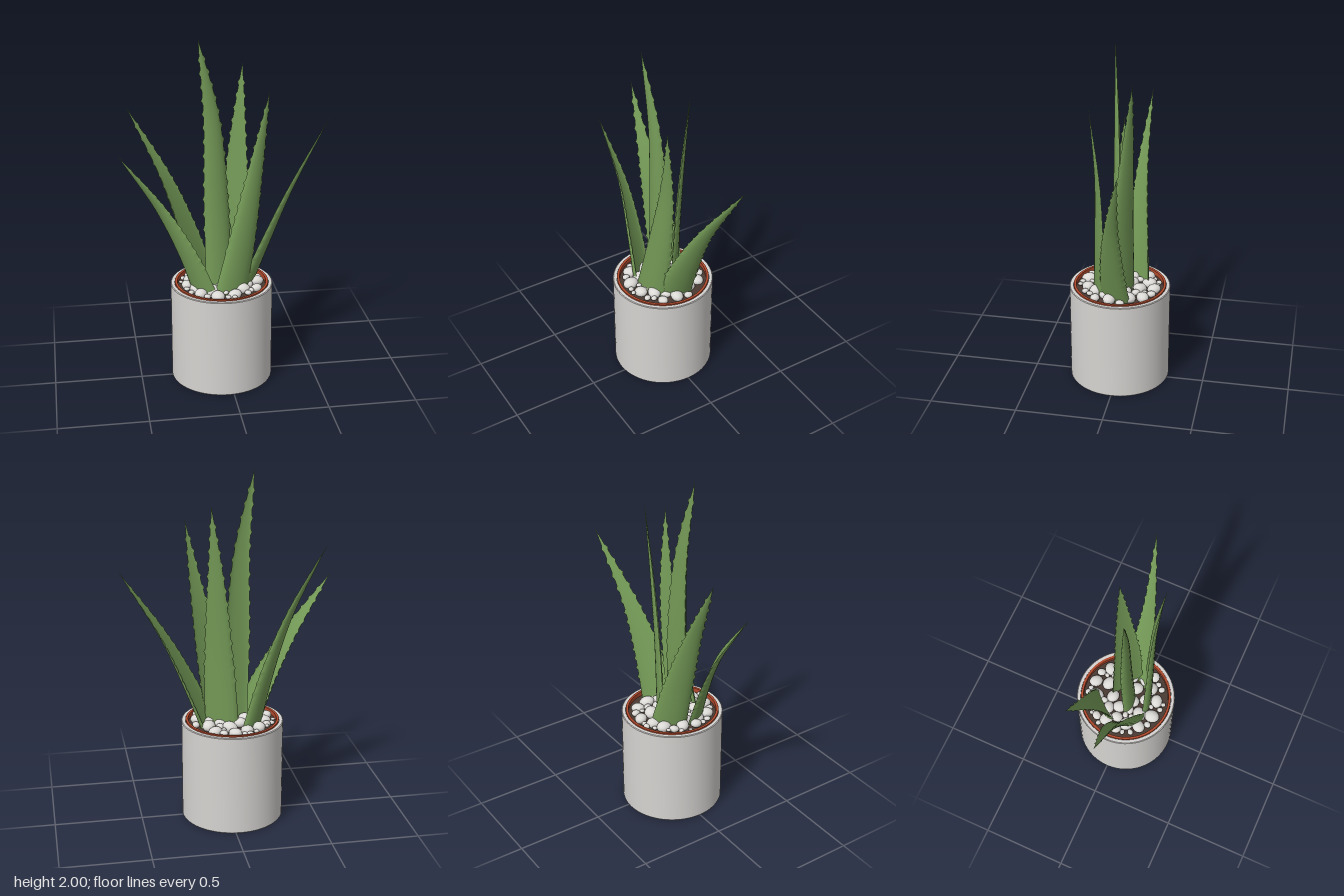
import * as THREE from 'three';
import { toCreasedNormals } from 'three/addons/utils/BufferGeometryUtils.js';

const mat = (name, color, side = THREE.FrontSide) => {
  const m = new THREE.MeshStandardMaterial({ color, side });
  m.name = name;
  return m;
};

const POT_X = -0.03;

// Pointed leaf with a crescent section: convex outside, shallow channel inside, toothed edges
function leafGeometry({ path, out, halfWidth, power, depth }) {
  const curve = new THREE.CatmullRomCurve3(path.map((p) => new THREE.Vector3(...p)));
  const outDir = new THREE.Vector3(...out);
  const rows = 72, cols = 10, positions = [], index = [];
  for (const [bulge, inner] of [[1, false], [0.3, true]]) {
    const start = positions.length / 3;
    for (let i = 0; i <= rows; i++) {
      const t = i / rows;
      const centre = curve.getPoint(t);
      const tangent = curve.getTangent(t);
      const side = new THREE.Vector3().crossVectors(tangent, outDir).normalize();
      const normal = new THREE.Vector3().crossVectors(side, tangent);
      const size = Math.max(1 - Math.pow(t, power), 0.01);
      const tooth = i % 4 === 2 && t > 0.2 && t < 0.95 ? 0.009 : 0;
      for (let j = 0; j <= cols; j++) {
        const a = (j / cols) * Math.PI;
        const edge = j === 0 ? tooth : j === cols ? -tooth : 0;
        const p = centre.clone()
          .addScaledVector(side, Math.cos(a) * halfWidth * size + edge)
          .addScaledVector(normal, Math.sin(a) * depth * size * bulge);
        positions.push(p.x, p.y, p.z);
      }
    }
    for (let i = 0; i < rows; i++) {
      for (let j = 0; j < cols; j++) {
        const a = start + i * (cols + 1) + j, b = a + cols + 1;
        if (inner) index.push(a, a + 1, b, b, a + 1, b + 1);
        else index.push(a, b, a + 1, b, b + 1, a + 1);
      }
    }
  }
  const g = new THREE.BufferGeometry();
  g.setAttribute('position', new THREE.Float32BufferAttribute(positions, 3));
  g.setIndex(index);
  g.computeVertexNormals();
  return g;
}

const LEAVES = [
  { name: 'lowRightLeaf', out: [-0.68, -0.38, 0.6], halfWidth: 0.092, power: 1.6, depth: 0.05,
    path: [[-0.11, 0.5, 0.075], [-0.22, 0.78, 0.065], [-0.37, 1.06, 0.055], [-0.6, 1.385, 0.08]] },
  { name: 'rearRightLeaf', out: [-0.7, -0.3, -0.62], halfWidth: 0.1, power: 1.4, depth: 0.045,
    path: [[-0.1, 0.5, -0.085], [-0.2, 0.85, -0.075], [-0.33, 1.2, -0.075], [-0.535, 1.6, -0.1]] },
  { name: 'tallLeaf', out: [0.15, 0, 1], halfWidth: 0.077, power: 2.2, depth: 0.045,
    path: [[-0.045, 0.5, 0.02], [-0.06, 1.05, 0.005], [-0.085, 1.55, 0.015], [-0.16, 2, 0.05]] },
  { name: 'rearLeaf', out: [0.55, 0, -0.83], halfWidth: 0.105, power: 1.6, depth: 0.04,
    path: [[0.03, 0.5, -0.015], [0.05, 0.95, -0.025], [0.07, 1.4, -0.055], [0.1, 1.83, -0.09]] },
  { name: 'frontLeaf', out: [0.35, 0, 0.94], halfWidth: 0.105, power: 1.3, depth: 0.05,
    path: [[0.0, 0.5, 0.095], [0.08, 0.9, 0.085], [0.15, 1.3, 0.085], [0.213, 1.72, 0.12]] },
  { name: 'leftLeaf', out: [0.8, -0.4, 0.42], halfWidth: 0.1, power: 1.4, depth: 0.05,
    path: [[0.07, 0.5, 0.0], [0.2, 0.8, 0.0], [0.35, 1.1, -0.025], [0.6, 1.5, -0.1]] },
];

export function createModel() {
  const model = new THREE.Group();
  model.name = 'pottedPlant';
  const white = mat('potWhite', 0xd6d4d1);
  const terracotta = mat('terracotta', 0xb0492c);
  const soilBrown = mat('soilBrown', 0x4a3b32);
  const pebbleWhite = mat('pebbleWhite', 0xdcdad6);
  const green = mat('leafGreen', 0x749a57, THREE.DoubleSide);

  const add = (name, geometry, material, x = 0, y = 0, z = 0, parent = model) => {
    const mesh = new THREE.Mesh(geometry, material);
    mesh.name = name;
    mesh.position.set(x, y, z);
    parent.add(mesh);
    return mesh;
  };
  const lathe = (pts) => toCreasedNormals(
    new THREE.LatheGeometry(pts.map((p) => new THREE.Vector2(...p)), 64), 0.6);

  // Outer pot, inner nursery pot and soil
  add('outerPot', lathe([[0, 0], [0.287, 0], [0.29, 0.004], [0.29, 0.576], [0.286, 0.58],
    [0.268, 0.58], [0.266, 0.5]]), white, POT_X);
  add('innerPot', lathe([[0.264, 0.5], [0.266, 0.586], [0.252, 0.586], [0.25, 0.5]]), terracotta, POT_X);
  add('soil', new THREE.CylinderGeometry(0.252, 0.252, 0.04, 48), soilBrown, POT_X, 0.54);

  // Pebbles scattered over the soil, largest first, without much overlap
  let seed = 7;
  const rand = () => (seed = (seed * 16807) % 2147483647) / 2147483647;
  const pebbles = new THREE.Group();
  pebbles.name = 'pebbles';
  model.add(pebbles);
  const stone = new THREE.SphereGeometry(1, 14, 10);
  const placed = [];
  for (let k = 0; k < 2600 && placed.length < 120; k++) {
    const r = 0.042 - 0.028 * (k / 2600) - 0.004 * rand();
    const d = Math.sqrt(rand()) * (0.245 - r), a = rand() * Math.PI * 2;
    const x = Math.cos(a) * d, z = Math.sin(a) * d;
    if (placed.some((p) => Math.hypot(p.x - x, p.z - z) < (p.r + r) * 0.88)) continue;
    placed.push({ x, z, r });
    const m = add('pebble', stone, pebbleWhite, POT_X + x, 0.572 + rand() * 0.012, z, pebbles);
    m.scale.set(r * 1.08, r * 0.72, r * 0.92);
    m.rotation.set(0.3 * (rand() - 0.5), rand() * Math.PI, 0.3 * (rand() - 0.5));
  }

  // Leaves
  for (const leaf of LEAVES) add(leaf.name, leafGeometry(leaf), green);
  return model;
}
